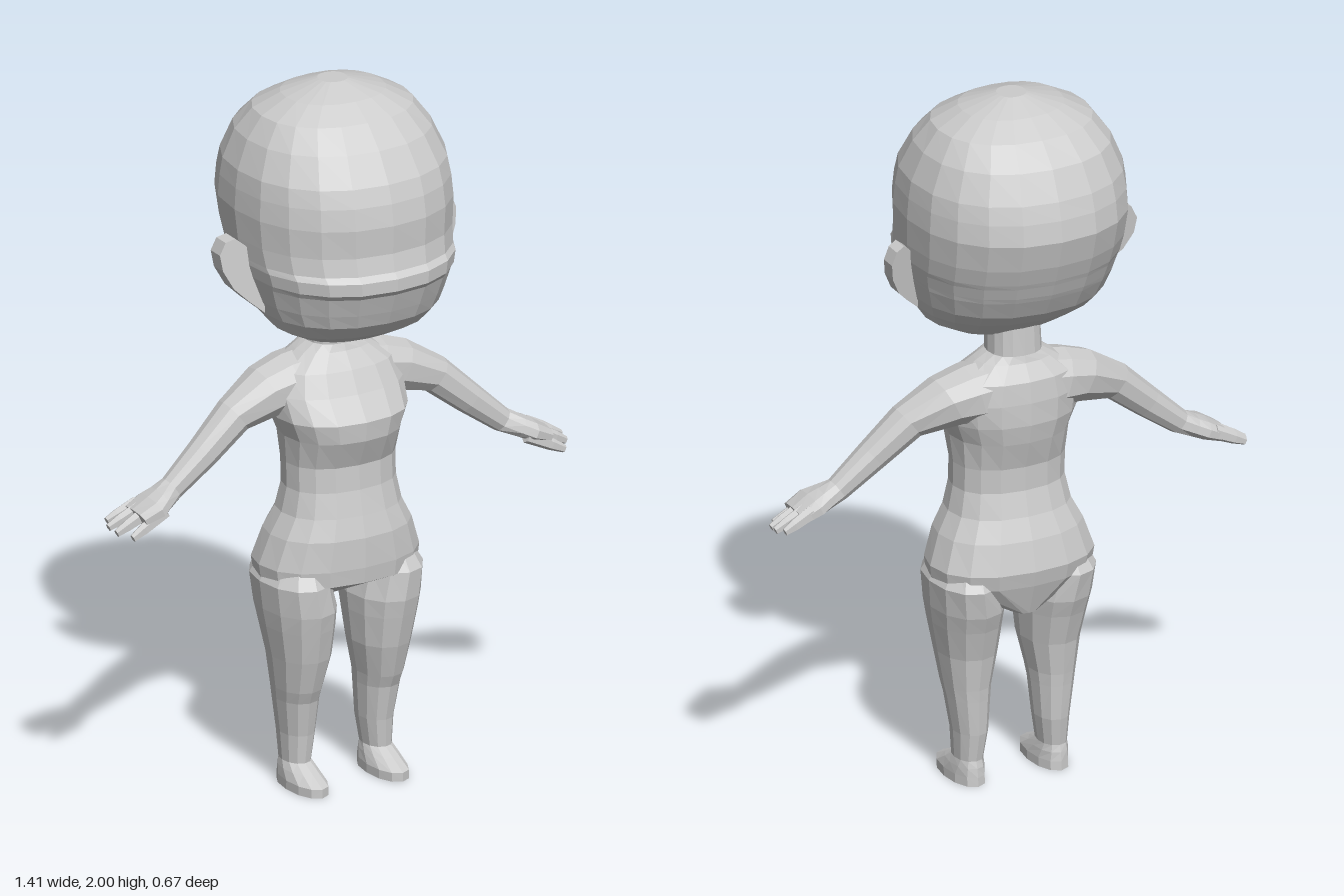
import * as THREE from 'three';

const material = new THREE.MeshStandardMaterial({ color: 0xcccccc, flatShading: true });

// Skin closed superellipse rings { c: centre, a, b: half axes } with capped ends; a x b points along the loft.
function loft(rings, sides, power = 2.3) {
  const pos = [], index = [];
  const bend = (t) => Math.sign(t) * Math.pow(Math.abs(t), 2 / power);
  for (const { c, a, b } of rings) {
    for (let i = 0; i < sides; i++) {
      const t = (i / sides) * Math.PI * 2;
      const p = c.clone().addScaledVector(a, bend(Math.cos(t))).addScaledVector(b, bend(Math.sin(t)));
      pos.push(p.x, p.y, p.z);
    }
  }
  const last = (rings.length - 1) * sides;
  for (let r = 0; r < last; r += sides) {
    for (let i = 0; i < sides; i++) {
      const j = (i + 1) % sides;
      index.push(r + i, r + j, r + sides + i, r + j, r + sides + j, r + sides + i);
    }
  }
  for (let i = 1; i < sides - 1; i++) {
    index.push(0, i + 1, i, last, last + i, last + i + 1);
  }
  const g = new THREE.BufferGeometry();
  g.setAttribute('position', new THREE.Float32BufferAttribute(pos, 3));
  g.setIndex(index);
  return g;
}

// Level ring from its height and its x and z limits
const level = ([y, x0, x1, z0, z1]) => ({
  c: new THREE.Vector3((x0 + x1) / 2, y, (z0 + z1) / 2),
  a: new THREE.Vector3(0, 0, (z1 - z0) / 2),
  b: new THREE.Vector3((x1 - x0) / 2, 0, 0),
});
const centred = ([y, half, z0, z1]) => level([y, -half, half, z0, z1]);

// Ring across a limb that runs outwards and down by the given angle
const across = ([x, y, z, thick, wide, angle]) => ({
  c: new THREE.Vector3(x, y, z),
  a: new THREE.Vector3(Math.sin(angle), Math.cos(angle), 0).multiplyScalar(thick),
  b: new THREE.Vector3(0, 0, wide),
});

function flat(geometry) {
  const g = geometry.index ? geometry.toNonIndexed() : geometry;
  g.computeVertexNormals();
  return g;
}

// Swap left and right, keeping the faces outwards
function mirrored(geometry) {
  const g = geometry.index ? geometry.toNonIndexed() : geometry.clone();
  const p = g.attributes.position;
  const a = new THREE.Vector3(), b = new THREE.Vector3();
  for (let i = 0; i < p.count; i += 3) {
    a.fromBufferAttribute(p, i + 1);
    b.fromBufferAttribute(p, i + 2);
    p.setX(i, -p.getX(i));
    p.setXYZ(i + 1, -b.x, b.y, b.z);
    p.setXYZ(i + 2, -a.x, a.y, a.z);
  }
  return g;
}

export function createModel() {
  const model = new THREE.Group();
  const add = (name, geometry) => {
    const mesh = new THREE.Mesh(flat(geometry), material);
    mesh.name = name;
    model.add(mesh);
  };
  const addPair = (name, geometry) => {
    add('left' + name, geometry);
    add('right' + name, mirrored(geometry));
  };

  // Head, chin to crown, with a ridge at the mouth: y, half width, back, front
  add('head', loft([
    [1.295, 0.08, -0.03, 0.1], [1.31, 0.15, -0.06, 0.17], [1.345, 0.217, -0.115, 0.235],
    [1.39, 0.25, -0.185, 0.28], [1.43, 0.268, -0.23, 0.297], [1.485, 0.284, -0.262, 0.318],
    [1.5, 0.288, -0.27, 0.332], [1.535, 0.296, -0.285, 0.333], [1.55, 0.298, -0.292, 0.316],
    [1.6, 0.303, -0.312, 0.306], [1.68, 0.308, -0.334, 0.31], [1.74, 0.304, -0.326, 0.3],
    [1.79, 0.297, -0.312, 0.283], [1.87, 0.264, -0.274, 0.232], [1.93, 0.22, -0.21, 0.17],
    [1.97, 0.145, -0.14, 0.105], [2.0, 0.04, -0.06, 0.02],
  ].map(centred), 20, 2.25));

  // Ears: thin plates swept backwards
  const outline = new THREE.Shape([
    [0.26, 1.4], [0.3, 1.435], [0.335, 1.47], [0.36, 1.52], [0.366, 1.565],
    [0.35, 1.6], [0.325, 1.61], [0.295, 1.585], [0.26, 1.56],
  ].map(([x, y]) => new THREE.Vector2(x, y)));
  const ear = new THREE.ExtrudeGeometry(outline, { depth: 0.05, bevelEnabled: false });
  const ep = ear.attributes.position;
  for (let i = 0; i < ep.count; i++) {
    ep.setZ(i, ep.getZ(i) - 0.01 - (ep.getX(i) - 0.3) * 0.4 - (ep.getY(i) - 1.53) * 0.1);
  }
  addPair('Ear', ear);

  // Torso and neck in one skin
  add('torso', loft([
    [0.51, 0.04, -0.13, -0.03], [0.6, 0.23, -0.16, 0.152], [0.645, 0.236, -0.17, 0.157],
    [0.73, 0.207, -0.15, 0.157], [0.79, 0.175, -0.125, 0.143], [0.86, 0.16, -0.106, 0.128],
    [0.93, 0.16, -0.108, 0.125], [1.01, 0.168, -0.132, 0.16], [1.065, 0.19, -0.143, 0.165],
    [1.13, 0.195, -0.143, 0.118], [1.19, 0.175, -0.137, 0.085], [1.235, 0.11, -0.108, 0.052],
    [1.255, 0.076, -0.102, 0.044], [1.36, 0.072, -0.098, 0.05],
  ].map(centred), 16));

  // Legs with feet, sole to hip: y, inner, outer, back, front
  addPair('Leg', loft([
    [0, 0.074, 0.175, -0.074, 0.143], [0.025, 0.074, 0.175, -0.072, 0.143],
    [0.05, 0.08, 0.17, -0.068, 0.09], [0.07, 0.086, 0.164, -0.062, 0.05],
    [0.15, 0.074, 0.169, -0.074, 0.057], [0.25, 0.066, 0.184, -0.08, 0.075],
    [0.285, 0.062, 0.19, -0.083, 0.09], [0.38, 0.042, 0.205, -0.095, 0.118],
    [0.47, 0.033, 0.222, -0.12, 0.137], [0.52, 0.03, 0.23, -0.138, 0.147],
    [0.6, 0.05, 0.237, -0.15, 0.148], [0.68, 0.08, 0.19, -0.1, 0.1],
  ].map(level), 12, 2.1));

  // Arms and palms: x, y, z, half thickness, half width, slope
  addPair('Arm', loft([
    [0.08, 1.15, -0.035, 0.085, 0.09, 0.15], [0.13, 1.145, -0.035, 0.083, 0.088, 0.25],
    [0.2, 1.133, -0.03, 0.073, 0.078, 0.45],
    [0.31, 1.088, -0.015, 0.052, 0.052, 0.65], [0.41, 1.003, -0.005, 0.044, 0.042, 0.72],
    [0.51, 0.922, 0, 0.034, 0.033, 0.62], [0.55, 0.903, 0.01, 0.031, 0.052, 0.45],
    [0.58, 0.89, 0.015, 0.03, 0.068, 0.42], [0.63, 0.868, 0.012, 0.022, 0.062, 0.42],
  ].map(across), 10));

  // Fingers: root x, y, z, tip x, y, z
  [
    [0.6, 0.885, -0.032, 0.687, 0.846, -0.042],
    [0.6, 0.885, -0.004, 0.7, 0.84, -0.01],
    [0.6, 0.88, 0.026, 0.695, 0.834, 0.026],
    [0.56, 0.882, 0.052, 0.668, 0.828, 0.066],
  ].forEach(([x, y, z, tx, ty, tz], i) => {
    const slope = Math.atan2(y - ty, tx - x);
    const ring = (t, thick, wide) => across([
      x + (tx - x) * t, y + (ty - y) * t, z + (tz - z) * t, thick, wide, slope]);
    addPair('Finger' + (i + 1), loft([
      ring(0, 0.021, 0.018), ring(0.65, 0.017, 0.015), ring(1, 0.011, 0.01),
    ], 6));
  });

  return model;
}
